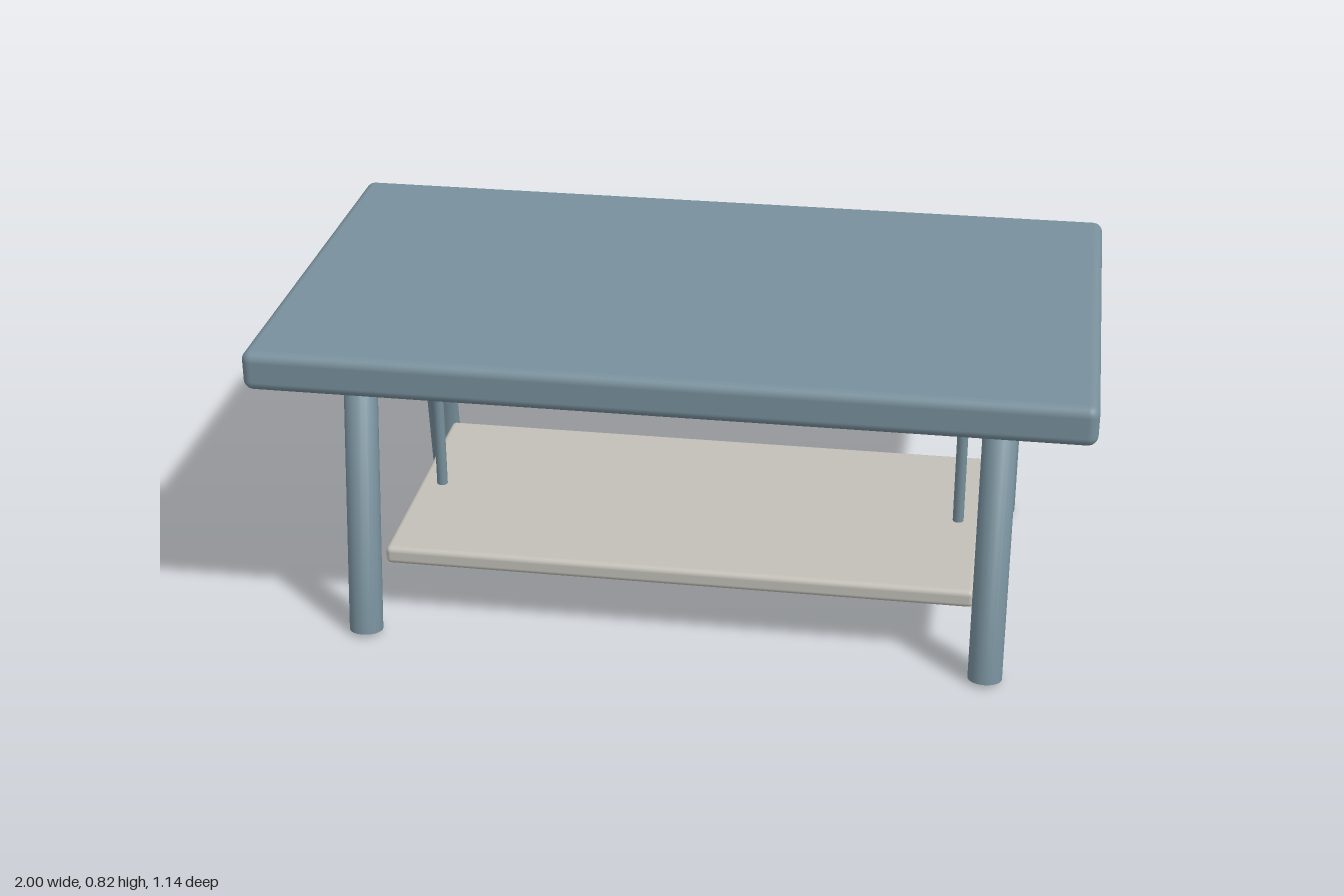
import * as THREE from 'three';
import { RoundedBoxGeometry } from 'three/addons/geometries/RoundedBoxGeometry.js';

// Polyline whose corners are mitred on the bisecting plane
class BentPath extends THREE.Curve {
  constructor(points) {
    super();
    this.points = points;
  }
  getPointAt(u, target = new THREE.Vector3()) {
    return target.copy(this.points[Math.round(u * (this.points.length - 1))]);
  }
  getTangentAt(u, target = new THREE.Vector3()) {
    const p = this.points, last = p.length - 1, i = Math.round(u * last);
    target.set(0, 0, 0);
    if (i > 0) target.add(p[i].clone().sub(p[i - 1]).normalize());
    if (i < last) target.add(p[i + 1].clone().sub(p[i]).normalize());
    return target.normalize();
  }
}

export function createModel() {
  const table = new THREE.Group();
  table.name = 'coffeeTable';

  const blueGrey = new THREE.MeshStandardMaterial({ color: 0x78909c, side: THREE.DoubleSide });
  blueGrey.name = 'blueGrey';
  const cream = new THREE.MeshStandardMaterial({ color: 0xc2c0b8 });
  cream.name = 'cream';

  const add = (name, geometry, material, x, y, z) => {
    const mesh = new THREE.Mesh(geometry, material);
    mesh.name = name;
    mesh.position.set(x, y, z);
    table.add(mesh);
  };
  const slab = (name, w, h, d, radius, material, y) =>
    add(name, new RoundedBoxGeometry(w, h, d, 4, radius), material, 0, y, 0);

  // Horizontal boards
  slab('tableTop', 2, 0.1, 1.14, 0.025, blueGrey, 0.77);
  slab('underPanel', 1.56, 0.05, 0.73, 0.015, cream, 0.695);
  slab('lowerShelf', 1.48, 0.047, 0.72, 0.014, cream, 0.177);

  // Splayed leg pair with crossbar, bent from one open tube
  const path = new BentPath([
    new THREE.Vector3(0, 0.007, 0.437),
    new THREE.Vector3(0, 0.7, 0.338),
    new THREE.Vector3(0, 0.7, -0.338),
    new THREE.Vector3(0, 0.007, -0.437),
  ]);
  const frame = new THREE.TubeGeometry(path, 3, 0.042, 24, false);
  const post = new THREE.CylinderGeometry(0.014, 0.014, 0.48, 16);

  // Each end: leg frame and a slim post holding the shelf
  for (const [side, s] of [['left', 1], ['right', -1]]) {
    add(side + 'LegFrame', frame, blueGrey, s * 0.778, 0, 0);
    add(side + 'ShelfPost', post, blueGrey, s * 0.68, 0.435, 0);
  }
  return table;
}
